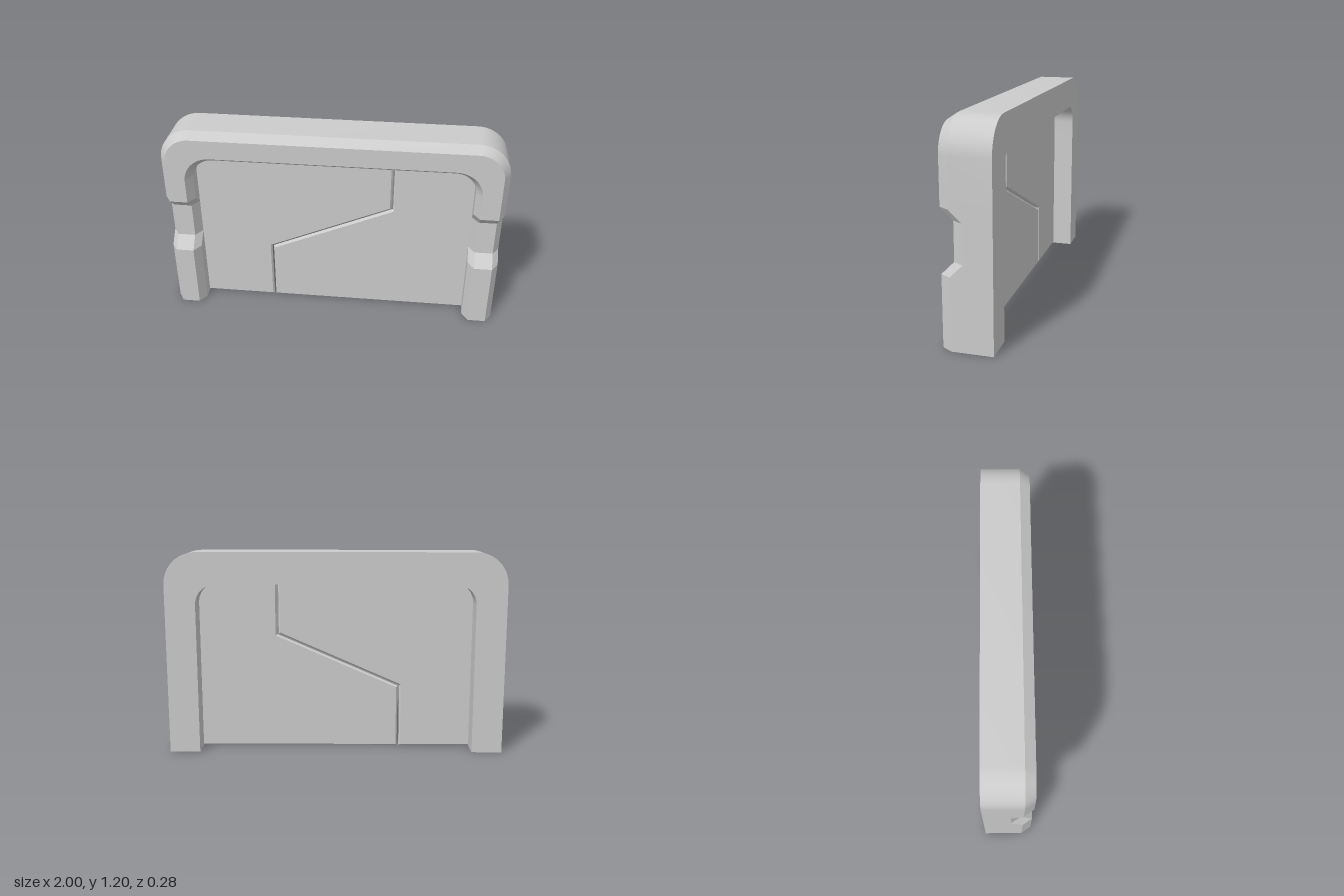
import * as THREE from 'three';
import { toCreasedNormals } from 'three/addons/utils/BufferGeometryUtils.js';

const material = new THREE.MeshStandardMaterial({ color: 0xcccccc });

// One edge line of the arch, from the left foot over the top to the right foot.
// Leg stations carry the depth offset of the recess cut into the leg's front.
const LEG = [[0, 0], [0.4, 0], [0.47, -0.07], [0.685, -0.07], [0.75, 0]];
const ARC_STEPS = 12;

function archRail(halfWidth, height, radius, z) {
  const half = LEG.map(([y, dz]) => new THREE.Vector3(halfWidth, y, z > 0 ? z + dz : z));
  for (let i = 0; i <= ARC_STEPS; i++) {
    const a = (i / ARC_STEPS) * Math.PI / 2;
    half.push(new THREE.Vector3(
      halfWidth - radius + radius * Math.cos(a),
      height - radius + radius * Math.sin(a),
      z));
  }
  const mirrored = half.map((p) => new THREE.Vector3(-p.x, p.y, p.z)).reverse();
  return half.concat(mirrored);
}

// Arch with chamfered front edges, skinned between its six edge lines
function frameGeometry() {
  const rails = [
    archRail(1, 1.2, 0.19, -0.142),
    archRail(1, 1.2, 0.19, 0.085),
    archRail(0.963, 1.163, 0.153, 0.142),
    archRail(0.857, 1.05, 0.157, 0.142),
    archRail(0.82, 1.013, 0.12, 0.085),
    archRail(0.82, 1.013, 0.12, -0.142),
  ];
  const sides = rails.length;
  const stations = rails[0].length;
  const positions = [];
  const index = [];
  for (let i = 0; i < stations; i++) {
    for (const rail of rails) positions.push(...rail[i].toArray());
  }
  for (let i = 0; i < stations - 1; i++) {
    for (let j = 0; j < sides; j++) {
      const a = i * sides + j;
      const b = i * sides + (j + 1) % sides;
      const c = b + sides;
      const d = a + sides;
      index.push(a, d, c, a, c, b);
    }
  }
  // Soles of the two legs
  const last = (stations - 1) * sides;
  for (let j = 1; j < sides - 1; j++) {
    index.push(0, j, j + 1, last, last + j + 1, last + j);
  }
  const geometry = new THREE.BufferGeometry();
  geometry.setAttribute('position', new THREE.Float32BufferAttribute(positions, 3));
  geometry.setIndex(index);
  return toCreasedNormals(geometry, 0.4);
}

// Thin slab with bevelled edges, centred on z = 0
function leafGeometry(points) {
  const shape = new THREE.Shape(points.map(([x, y]) => new THREE.Vector2(x, y)));
  const geometry = new THREE.ExtrudeGeometry(shape, {
    depth: 0.01,
    bevelEnabled: true,
    bevelThickness: 0.01,
    bevelSize: 0.009,
    bevelOffset: -0.009,
    bevelSegments: 1,
  });
  return geometry.translate(0, 0, -0.005);
}

function addPart(group, name, geometry) {
  const mesh = new THREE.Mesh(geometry, material);
  mesh.name = name;
  group.add(mesh);
}

export function createModel() {
  const group = new THREE.Group();
  group.name = 'slidingDoor';

  addPart(group, 'doorFrame', frameGeometry());

  // Two door leaves meeting along a stepped seam; their outer edges sit in the frame
  addPart(group, 'rightDoorLeaf', leafGeometry([
    [-0.85, 0], [-0.388, 0], [-0.388, 0.383], [0.345, 0.703], [0.345, 1.04], [-0.85, 1.04],
  ]));
  addPart(group, 'leftDoorLeaf', leafGeometry([
    [-0.378, 0], [0.85, 0], [0.85, 1.04], [0.355, 1.04], [0.355, 0.6975], [-0.378, 0.3775],
  ]));

  return group;
}
